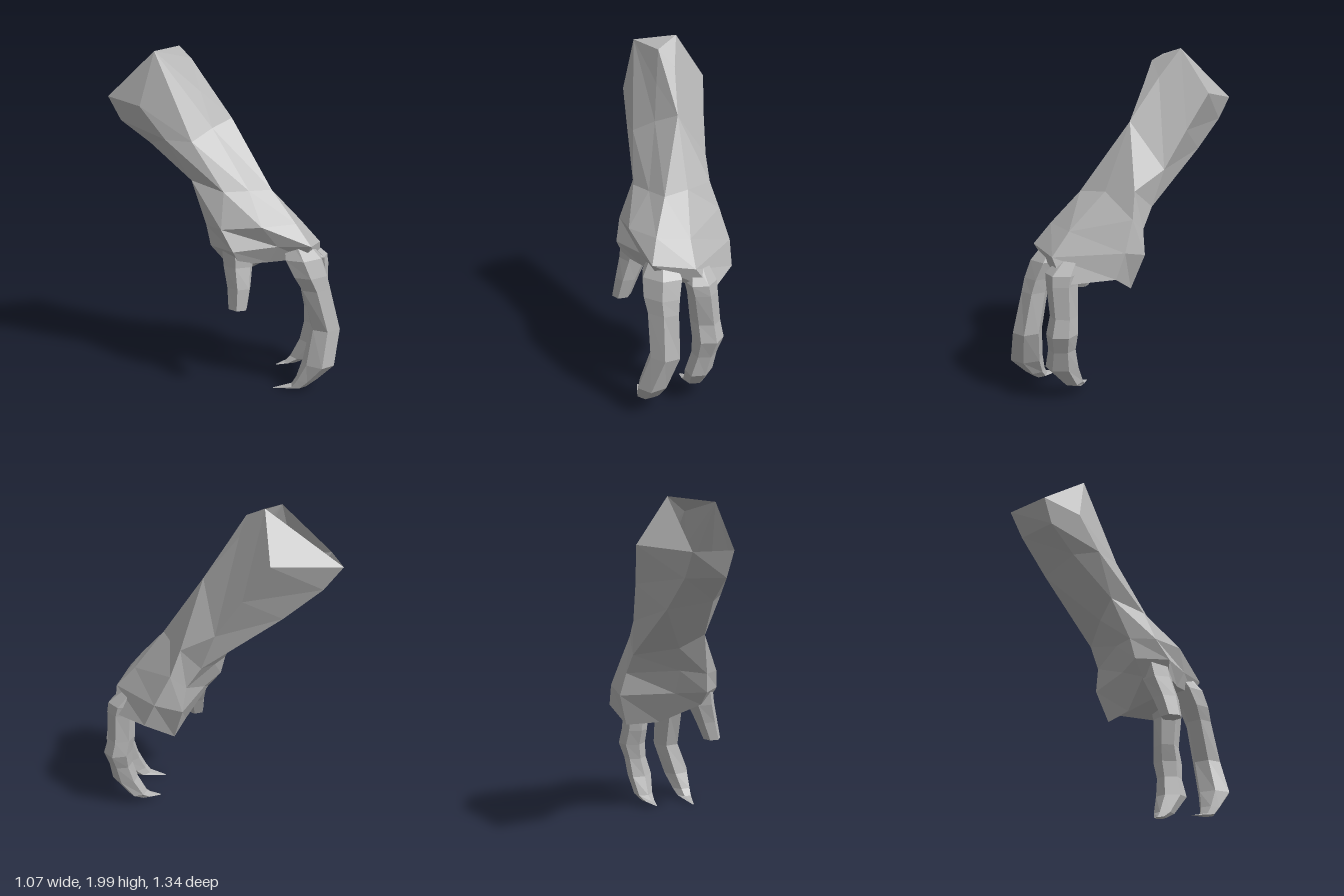
import * as THREE from 'three';

// Faceted skin through rings (top to bottom, each counter-clockwise from above),
// open at the top and closed to a point at the bottom
function loft(rings, bottomApex) {
  const pos = [];
  const tri = (a, b, c) => {
    const A = new THREE.Vector3(...a), B = new THREE.Vector3(...b), C = new THREE.Vector3(...c);
    const area = B.clone().sub(A).cross(C.clone().sub(A)).length();
    if (area > 1e-7) pos.push(...a, ...b, ...c);
  };
  const n = rings[0].length;
  for (let k = 0; k < rings.length - 1; k++) {
    for (let i = 0; i < n; i++) {
      const j = (i + 1) % n, a = rings[k], b = rings[k + 1];
      tri(a[i], b[i], b[j]);
      tri(a[i], b[j], a[j]);
    }
  }
  const bottom = rings[rings.length - 1];
  for (let i = 0; i < n; i++) tri(bottomApex, bottom[(i + 1) % n], bottom[i]);
  const geo = new THREE.BufferGeometry();
  geo.setAttribute('position', new THREE.Float32BufferAttribute(pos, 3));
  geo.computeVertexNormals();
  return geo;
}

// Six-sided finger from stations [x, y, z, half width, half depth]
function finger(stations, turn) {
  const rings = stations.map(([x, y, z, rx, rz]) =>
    Array.from({ length: 6 }, (_, i) => {
      const t = turn + (i / 6) * Math.PI * 2;
      return [x + rx * Math.sin(t), y, z + rz * Math.cos(t)];
    }));
  return loft(rings, stations[stations.length - 1].slice(0, 3));
}

export function createModel() {
  const group = new THREE.Group();
  const skin = new THREE.MeshStandardMaterial({
    color: 0xb4b4b4, flatShading: true, side: THREE.DoubleSide });
  skin.name = 'grey skin';
  const add = (name, geo) => {
    const mesh = new THREE.Mesh(geo, skin);
    mesh.name = name;
    group.add(mesh);
  };

  // Corners of the slanted open end of the forearm
  const upper = [-0.11, 2, -0.34], back = [-0.39, 1.7, -0.67];
  const inner = [-0.535, 1.71, -0.465], front = [-0.35, 1.97, -0.24];
  const ridge = [-0.14, 1.93, -0.17];
  const opening = [upper, upper, upper, upper, back, inner, inner, front];

  // Forearm, wrist and palm: back of hand, outer side, underside, thumb side
  const forearmEnd = [ridge, ridge, upper, [0, 1.74, -0.5], back, inner, inner, front];
  const forearmTop = [
    [-0.12, 1.74, -0.11], [-0.06, 1.79, -0.12], [-0.05, 1.83, -0.21], [0.07, 1.53, -0.37],
    [-0.32, 1.57, -0.6], [-0.48, 1.57, -0.42], [-0.445, 1.66, -0.26], front];
  const forearm = [
    [-0.09, 1.53, -0.035], [0.06, 1.58, -0.04], [0.06, 1.58, -0.04], [0.15, 1.31, -0.24],
    [-0.16, 1.4, -0.46], [-0.36, 1.44, -0.29], [-0.35, 1.47, -0.14], [-0.24, 1.46, -0.03]];
  const wrist = [
    [0, 1.18, 0.2], [0.13, 1.18, 0.25], [0.2, 1.19, 0.1], [0.26, 1.2, -0.07],
    [0.19, 1.1, -0.17], [-0.09, 1.15, -0.12], [-0.225, 1.23, -0.06], [-0.14, 1.18, 0.14]];
  const handBack = [
    [-0.04, 1, 0.365], [0.17, 1, 0.42], [0.32, 0.98, 0.3], [0.33, 1.05, -0.06],
    [0.26, 0.98, -0.12], [-0.05, 1, -0.02], [-0.2, 0.98, 0.05], [-0.205, 0.98, 0.2]];
  const knuckles = [
    [0.05, 0.88, 0.4], [0.2, 0.88, 0.52], [0.4, 0.85, 0.39], [0.42, 0.88, -0.02],
    [0.3, 0.84, -0.13], [0, 0.85, 0.02], [-0.19, 0.86, 0.08], [-0.18, 0.86, 0.28]];
  const palm = [
    [0.03, 0.78, 0.35], [0.2, 0.8, 0.47], [0.475, 0.71, 0.32], [0.46, 0.74, 0.03],
    [0.3, 0.64, -0.05], [0.12, 0.65, 0.06], [-0.13, 0.77, 0.13], [-0.13, 0.78, 0.28]];
  add('forearmAndPalm',
    loft([opening, forearmEnd, forearmTop, forearm, wrist, handBack, knuckles, palm],
      [0.2, 0.78, 0.25]));

  // Two long fingers growing out of the knuckles and curling to flat claws
  add('innerFinger', finger([
    [0.18, 0.95, 0.36, 0.05, 0.05], [0.215, 0.8, 0.44, 0.13, 0.1],
    [0.235, 0.7, 0.485, 0.12, 0.09], [0.26, 0.62, 0.51, 0.103, 0.08],
    [0.3, 0.38, 0.555, 0.095, 0.088], [0.23, 0.18, 0.575, 0.09, 0.1],
    [0.175, 0.08, 0.535, 0.07, 0.06], [0.14, 0.035, 0.51, 0.055, 0.045],
    [0.03, 0.01, 0.41, 0.006, 0.006]], 0.45));
  add('outerFinger', finger([
    [0.34, 0.88, 0.26, 0.03, 0.05], [0.4, 0.76, 0.33, 0.088, 0.1],
    [0.415, 0.7, 0.335, 0.085, 0.09], [0.43, 0.52, 0.325, 0.088, 0.08],
    [0.455, 0.42, 0.335, 0.09, 0.09], [0.435, 0.32, 0.34, 0.072, 0.078],
    [0.405, 0.2, 0.345, 0.076, 0.095], [0.35, 0.085, 0.29, 0.062, 0.062],
    [0.3, 0.05, 0.26, 0.045, 0.035], [0.22, 0.035, 0.22, 0.006, 0.006]], 0));

  // Short blunt thumb
  add('thumb', finger([
    [-0.08, 0.88, 0.2, 0.1, 0.1], [-0.095, 0.76, 0.22, 0.09, 0.09],
    [-0.12, 0.64, 0.26, 0.07, 0.078], [-0.148, 0.52, 0.285, 0.056, 0.062]], 0.2));

  return group;
}
